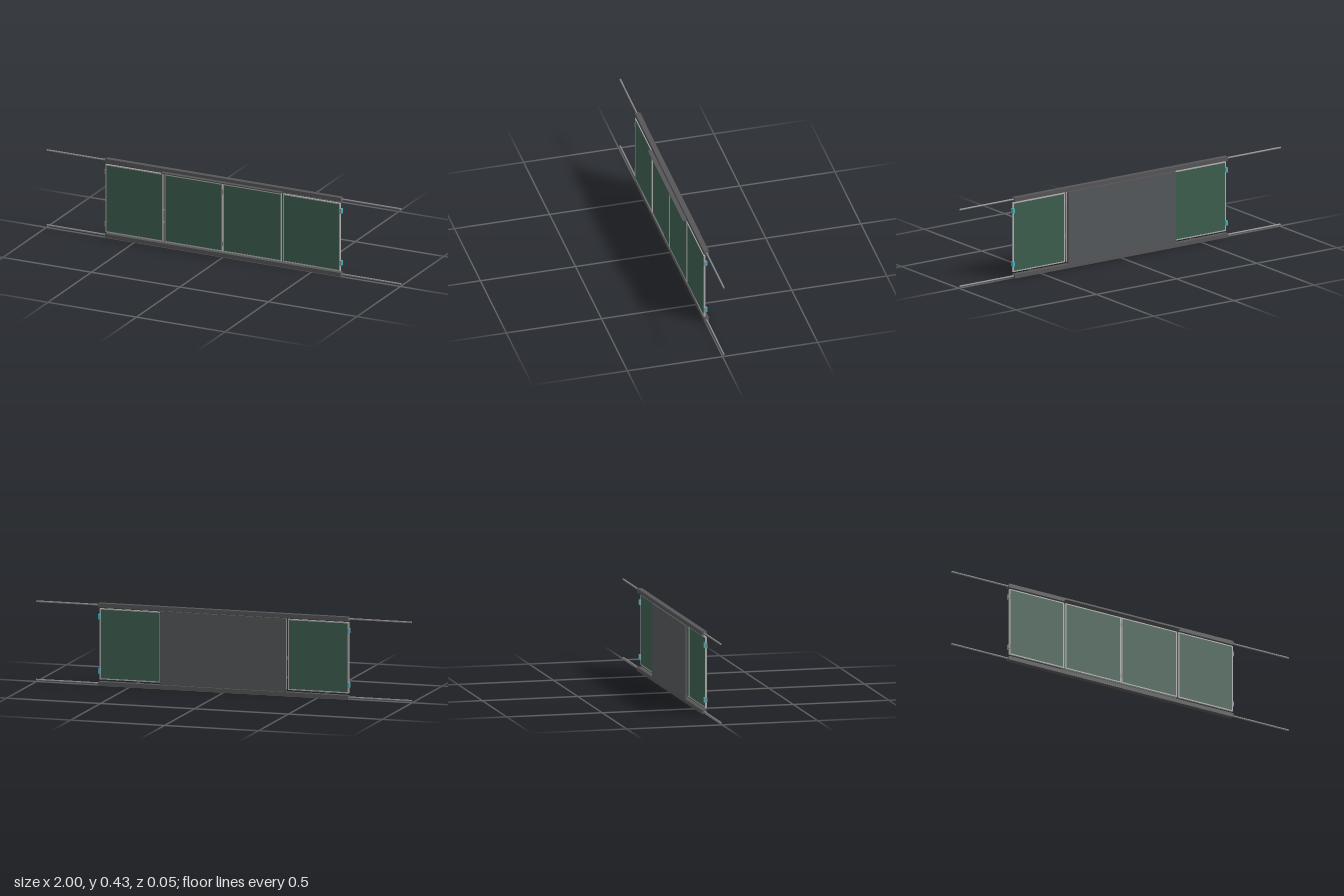
import * as THREE from 'three';

const mat = (name, color) => {
  const m = new THREE.MeshStandardMaterial({ color });
  m.name = name;
  return m;
};

export function createModel() {
  const dark = mat('dark steel', 0x565658);
  const green = mat('board green', 0x3d5e4e);
  const alu = mat('aluminium', 0xb4b0b2);
  const rodGrey = mat('rod grey', 0x8c8c8c);
  const cyan = mat('hinge cyan', 0x45b4c0);
  const backGrey = mat('back sheet grey', 0x55585b);
  const model = new THREE.Group();

  // Box given by its minimum and maximum corners
  const box = (name, m, x0, x1, y0, y1, z0, z1, parent = model) => {
    const mesh = new THREE.Mesh(new THREE.BoxGeometry(x1 - x0, y1 - y0, z1 - z0), m);
    mesh.position.set((x0 + x1) / 2, (y0 + y1) / 2, (z0 + z1) / 2);
    mesh.name = name;
    parent.add(mesh);
    return mesh;
  };

  // Guide rails with the long rods running through them
  for (const [label, y] of [['lower', 0], ['upper', 0.404]]) {
    box(label + 'Rail', dark, -0.665, 0.665, y, y + 0.021, -0.0205, 0.006);
    const rod = new THREE.Mesh(new THREE.CylinderGeometry(0.0045, 0.0045, 2, 16), rodGrey);
    rod.rotation.z = Math.PI / 2;
    rod.position.set(0, y + 0.011, -0.007);
    rod.name = label + 'Rod';
    model.add(rod);
  }

  // Ledge in front of the upper rail
  box('ledge', dark, -0.338, 0.338, 0.404, 0.409, 0.004, 0.028);

  // Fixed centre board: rear tray, sheet and front face
  box('backTray', dark, -0.335, 0.335, 0.024, 0.402, -0.0255, -0.014);
  box('backSheet', backGrey, -0.329, 0.329, 0.03, 0.396, -0.0262, -0.0255);
  box('centreBoardFace', green, -0.33, 0.33, 0.032, 0.394, -0.014, -0.0115);

  // Four framed sliding panels
  const w = 0.006, y0 = 0.03, y1 = 0.396, z0 = -0.003, z1 = 0.006;
  for (const [x0, x1] of [[-0.663, -0.339], [-0.331, -0.001], [0.001, 0.331], [0.339, 0.663]]) {
    const panel = new THREE.Group();
    panel.name = 'panel';
    box('frameSide', alu, x0, x0 + w, y0, y1, z0, z1, panel);
    box('frameSide', alu, x1 - w, x1, y0, y1, z0, z1, panel);
    box('frameBottom', alu, x0 + w, x1 - w, y0, y0 + w, z0, z1, panel);
    box('frameTop', alu, x0 + w, x1 - w, y1 - w, y1, z0, z1, panel);
    box('board', green, x0 + w, x1 - w, y0 + w, y1 - w, z0 + 0.0005, z1 - 0.0005, panel);
    model.add(panel);
  }

  // Hinge blocks at the outer edges and the centre joint
  for (const x of [-0.664, 0, 0.664]) {
    for (const y of [0.06, 0.34]) {
      box('hingePlate', rodGrey, x - 0.005, x + 0.005, y, y + 0.026, -0.001, 0.007);
      box('hingeBlock', cyan, x - 0.005, x + 0.005, y, y + 0.026, -0.011, -0.001);
    }
  }
  return model;
}
